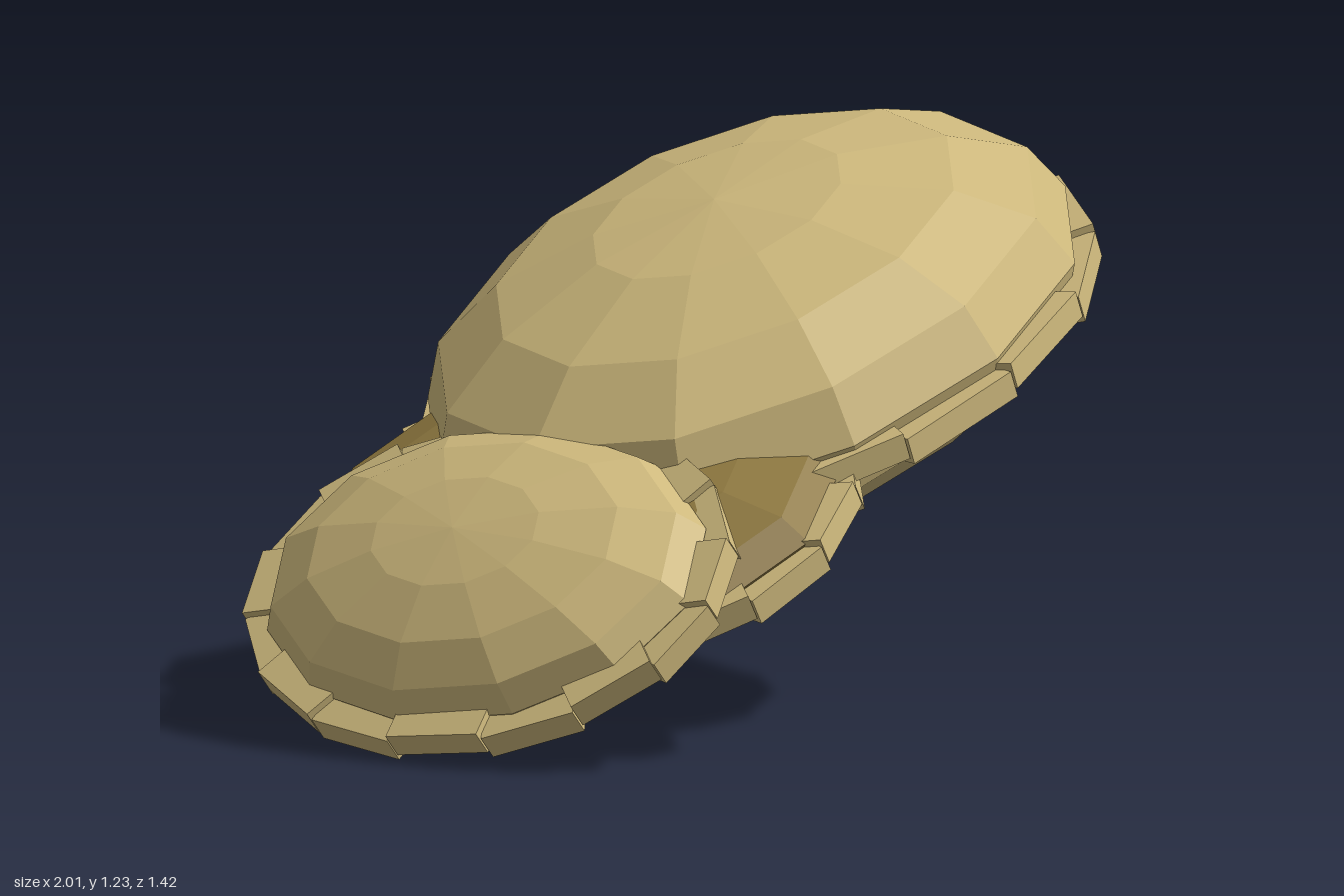
import * as THREE from 'three';

const material = (color) => new THREE.MeshStandardMaterial({ color, flatShading: true });

// One flattened, tilted pad with a rim of small blocks around its edge
function makePad({ name, center, tilt, radii, rim, rimDrop, color }, rimMaterial) {
  const pad = new THREE.Group();
  pad.name = name;
  pad.position.set(center[0], center[1], 0);
  pad.rotation.z = THREE.MathUtils.degToRad(tilt);

  // Faceted body
  const bodyGeometry = new THREE.SphereGeometry(1, 12, 8).scale(...radii);
  const body = new THREE.Mesh(bodyGeometry, material(color));
  body.name = name + 'Body';
  pad.add(body);

  // Rim blocks, one along each chord of an ellipse
  const count = 16, depth = 0.08, height = 0.06;
  const onRim = (i) => {
    const a = (i / count) * Math.PI * 2;
    return new THREE.Vector3(rim[0] * Math.cos(a), 0, rim[1] * Math.sin(a));
  };
  for (let i = 0; i < count; i++) {
    const p = onRim(i), q = onRim(i + 1);
    const along = q.clone().sub(p);
    const length = along.length();
    along.normalize();
    const outward = new THREE.Vector3(along.z, 0, -along.x);
    const block = new THREE.Mesh(new THREE.BoxGeometry(depth, height, length * 0.98), rimMaterial);
    block.name = name + 'RimBlock';
    block.position.copy(p).add(q).multiplyScalar(0.5).addScaledVector(outward, -depth / 2);
    block.position.y = rimDrop + (i % 2 ? 0.008 : -0.008);
    block.rotation.y = Math.atan2(along.x, along.z);
    pad.add(block);
  }
  return pad;
}

export function createModel() {
  const model = new THREE.Group();
  model.name = 'paddedBody';
  const light = 0xcdb87c, dark = 0x8f7940;
  const rimMaterial = material(light);

  const pads = [
    { name: 'largePad', center: [0.225, 0.795], tilt: 23, radii: [0.8, 0.32, 0.68],
      rim: [0.815, 0.71], rimDrop: -0.05, color: light },
    { name: 'middlePad', center: [-0.36, 0.46], tilt: 31, radii: [0.5, 0.16, 0.64],
      rim: [0.53, 0.675], rimDrop: -0.03, color: dark },
    { name: 'smallPad', center: [-0.66, 0.355], tilt: 43, radii: [0.4, 0.17, 0.56],
      rim: [0.455, 0.61], rimDrop: -0.025, color: light },
  ];
  for (const pad of pads) model.add(makePad(pad, rimMaterial));
  return model;
}
